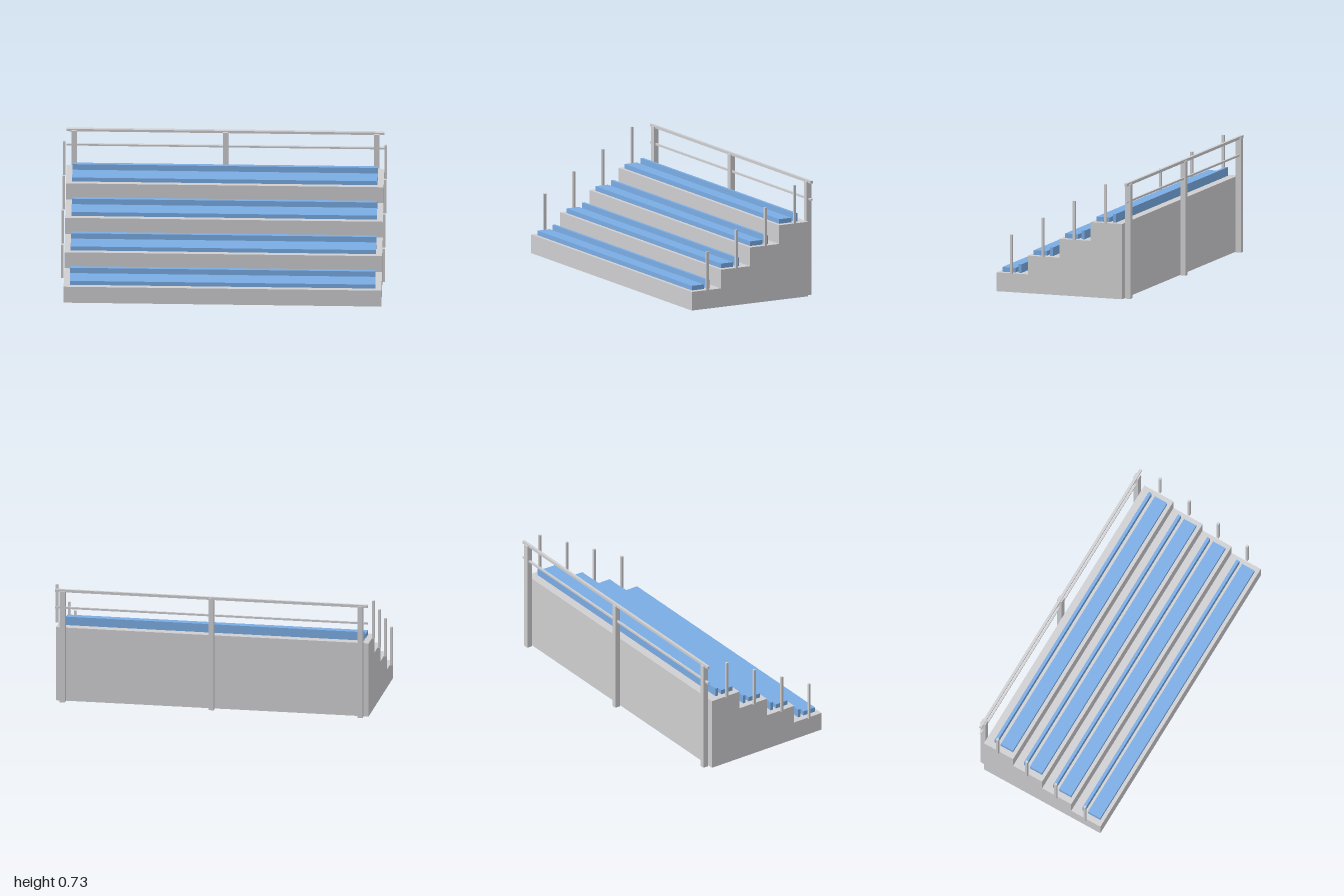
import * as THREE from 'three';

export function createModel() {
  const model = new THREE.Group();
  model.name = 'bleachers';
  const concrete = new THREE.MeshStandardMaterial({ color: 0xcfcfd1 });
  concrete.name = 'light grey';
  const seatBlue = new THREE.MeshStandardMaterial({ color: 0x7aace4 });
  seatBlue.name = 'seat blue';

  // Box given by its lower and upper limits on each axis
  function box(name, material, [x0, x1], [y0, y1], [z0, z1]) {
    const mesh = new THREE.Mesh(new THREE.BoxGeometry(x1 - x0, y1 - y0, z1 - z0), material);
    mesh.position.set((x0 + x1) / 2, (y0 + y1) / 2, (z0 + z1) / 2);
    mesh.name = name;
    model.add(mesh);
  }

  const tiers = 4, rise = 0.1177, run = 0.2081;
  const front = 0.4375, back = front - tiers * run, half = 0.981;

  // Stepped base: side profile extruded across the width
  const profile = new THREE.Shape();
  profile.moveTo(-front, 0);
  for (let i = 0; i < tiers; i++) {
    profile.lineTo(-front + i * run, (i + 1) * rise);
    profile.lineTo(-front + (i + 1) * run, (i + 1) * rise);
  }
  profile.lineTo(-back, 0);
  profile.closePath();
  const baseGeometry = new THREE.ExtrudeGeometry(profile, { depth: 2 * half, bevelEnabled: false });
  baseGeometry.rotateY(Math.PI / 2).translate(-half, 0, 0);
  const base = new THREE.Mesh(baseGeometry, concrete);
  base.name = 'steppedBase';
  model.add(base);

  // Bench, backrest and a pair of side posts on every tier
  for (let i = 0; i < tiers; i++) {
    const y = (i + 1) * rise, z = -i * run, backZ = -i * 0.209;
    box('bench', seatBlue, [-0.943, 0.943], [y, y + 0.029], [z + 0.327, z + 0.4145]);
    box('backrest', seatBlue, [-0.943, 0.943], [y, y + 0.054], [backZ + 0.287, backZ + 0.306]);
    for (const s of [-1, 1]) {
      const x = s * 0.9925;
      box('sidePost', concrete, [x - 0.0075, x + 0.0075], [y, y + 0.245], [z + 0.3265, z + 0.3415]);
    }
  }

  // Rear railing
  for (const x of [-0.934, 0, 0.934]) {
    box('rearPost', concrete, [x - 0.0165, x + 0.0165], [0, 0.716], [-0.4375, -0.403]);
  }
  box('topRail', concrete, [-half, half], [0.708, 0.725], [-0.429, -0.412]);
  box('middleRail', concrete, [-half, half], [0.601, 0.613], [-0.4265, -0.4145]);

  return model;
}
